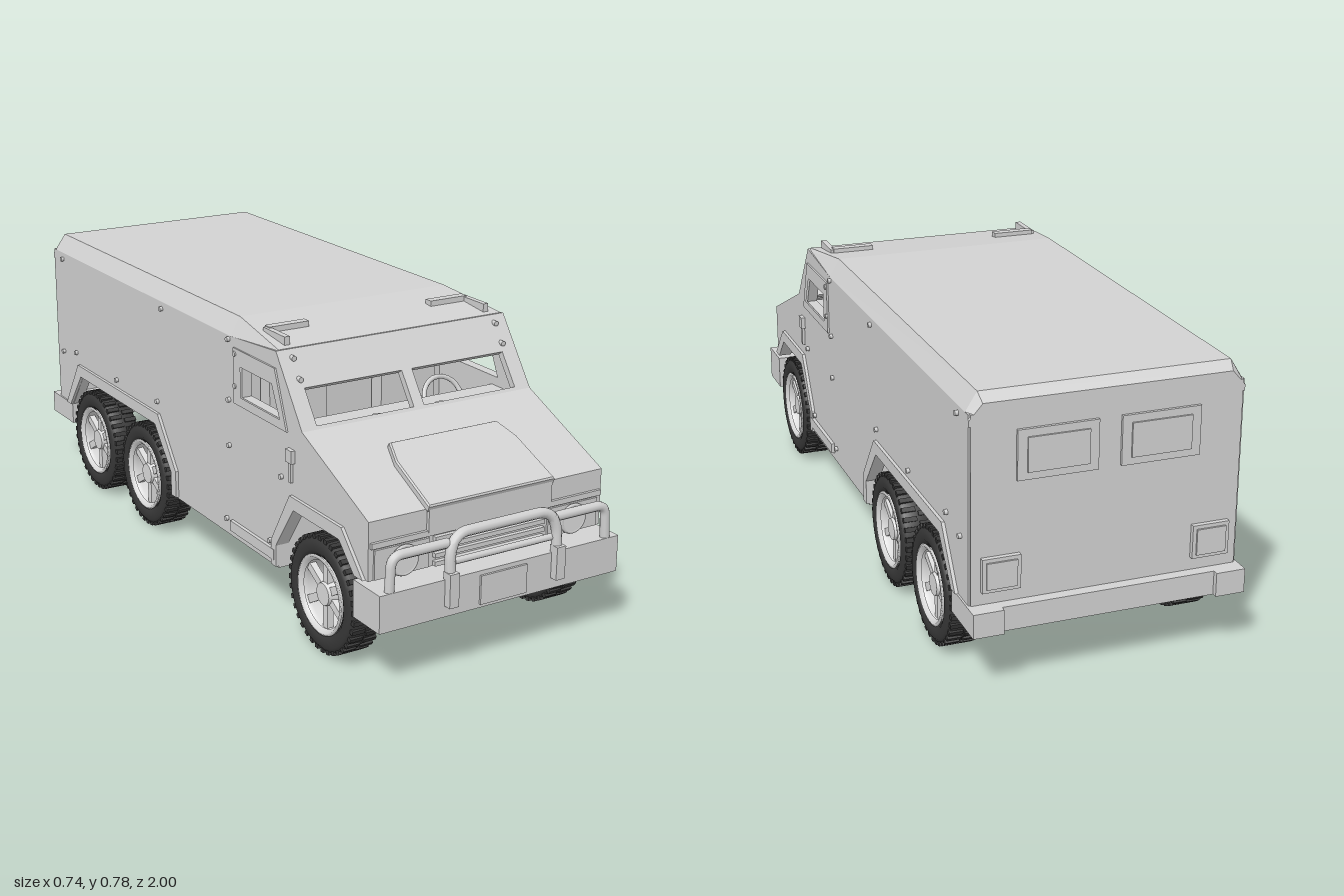
import * as THREE from 'three';
import { mergeGeometries } from 'three/addons/utils/BufferGeometryUtils.js';

const mat = (name, color, side = THREE.FrontSide) => {
  const m = new THREE.MeshStandardMaterial({ color, side });
  m.name = name;
  return m;
};

export function createModel() {
  const paint = mat('light grey paint', 0xd2d2d2);
  const metal = mat('pale metal', 0xdcdcdc, THREE.DoubleSide);
  const rubber = mat('black rubber', 0x383838);
  const truck = new THREE.Group();
  truck.name = 'armouredTruck';

  const add = (name, geo, m = paint, parent = truck) => {
    const mesh = new THREE.Mesh(geo, m);
    mesh.name = name;
    parent.add(mesh);
    return mesh;
  };
  // box given by its limits on each axis
  const box = (name, x0, x1, y0, y1, z0, z1, m) => add(name,
    new THREE.BoxGeometry(x1 - x0, y1 - y0, z1 - z0)
      .translate((x0 + x1) / 2, (y0 + y1) / 2, (z0 + z1) / 2), m);
  const poly = (pts) => new THREE.Shape(pts.map(([a, b]) => new THREE.Vector2(a, b)));
  // (z, y) outline given thickness along x, outer limit at x
  const sidePlate = (name, shape, s, xOut, t, m) => add(name,
    new THREE.ExtrudeGeometry(shape, { depth: t, bevelEnabled: false })
      .rotateY(-Math.PI / 2).translate(s > 0 ? xOut : -xOut + t, 0, 0), m);
  // slab whose upper face runs from a rear point to a front point
  const slab = (name, z0, y0, z1, y1, w, t) => add(name,
    new THREE.BoxGeometry(w, t, Math.hypot(z1 - z0, y1 - y0)).translate(0, -t / 2, 0)
      .rotateX(-Math.atan2(y1 - y0, z1 - z0)).translate(0, (y0 + y1) / 2, (z0 + z1) / 2));
  const tube = (name, pts, r, m = paint) => {
    const path = new THREE.CurvePath();
    const v = pts.map((p) => new THREE.Vector3(...p));
    // straight runs joined by small rounded bends
    let from = v[0];
    for (let i = 1; i < v.length - 1; i++) {
      const a = v[i].clone().add(v[i - 1].clone().sub(v[i]).setLength(0.03));
      const b = v[i].clone().add(v[i + 1].clone().sub(v[i]).setLength(0.03));
      path.add(new THREE.LineCurve3(from, a));
      path.add(new THREE.QuadraticBezierCurve3(a, v[i], b));
      from = b;
    }
    path.add(new THREE.LineCurve3(from, v[v.length - 1]));
    return add(name, new THREE.TubeGeometry(path, 60, r, 10), m);
  };
  const disc = (name, r, h, x, y, z, m = paint, axis = 'z') => {
    const g = new THREE.CylinderGeometry(r, r, h, 20);
    if (axis === 'z') g.rotateX(Math.PI / 2); else if (axis === 'x') g.rotateZ(Math.PI / 2);
    return add(name, g.translate(x, y, z), m);
  };

  // body sides with wheel cut-outs and cab windows
  const side = poly([[0.91, 0.28], [0.91, 0.435], [0.6, 0.57], [0.47, 0.75], [0.23, 0.73], [-0.95, 0.73],
    [-0.95, 0.23], [-0.85, 0.23], [-0.76, 0.35], [-0.23, 0.35], [-0.13, 0.23], [-0.13, 0.155],
    [0.48, 0.155], [0.48, 0.22], [0.57, 0.35], [0.79, 0.35], [0.86, 0.28]]);
  const pane = [[0.495, 0.575], [0.29, 0.575], [0.29, 0.66], [0.455, 0.66]];
  side.holes.push(poly(pane));
  const frame = poly([[0.53, 0.55], [0.25, 0.55], [0.25, 0.705], [0.47, 0.705]]);
  frame.holes.push(poly(pane));
  const frontFlare = poly([[0.9, 0.28], [0.8, 0.385], [0.55, 0.385], [0.455, 0.23], [0.455, 0.16],
    [0.48, 0.16], [0.48, 0.22], [0.57, 0.35], [0.79, 0.35], [0.86, 0.28]]);
  const rearFlare = poly([[-0.1, 0.16], [-0.1, 0.24], [-0.21, 0.385], [-0.78, 0.385], [-0.88, 0.235],
    [-0.85, 0.235], [-0.76, 0.35], [-0.23, 0.35], [-0.13, 0.23], [-0.13, 0.16]]);
  for (const s of [1, -1]) {
    const span = (a, b) => (s > 0 ? [a, b] : [-b, -a]);
    sidePlate('sidePanel', side, s, 0.36, 0.03);
    sidePlate('windowFrame', frame, s, 0.365, 0.009);
    sidePlate('frontWheelFlare', frontFlare, s, 0.369, 0.02);
    sidePlate('rearWheelFlare', rearFlare, s, 0.369, 0.02);
    box('sideStep', ...span(0.34, 0.37), 0.175, 0.205, 0.23, 0.47);
    box('doorHandle', ...span(0.355, 0.372), 0.475, 0.51, 0.535, 0.565);
    box('doorLatch', ...span(0.355, 0.368), 0.42, 0.475, 0.543, 0.555);
    // armour bolts
    for (const [z, y] of [[0.22, 0.72], [0.22, 0.55], [0.22, 0.42], [0.2, 0.2], [-0.18, 0.71], [-0.22, 0.42],
      [-0.5, 0.41], [-0.8, 0.42], [-0.88, 0.71], [-0.9, 0.4], [0.26, 0.69], [0.26, 0.6], [0.5, 0.42], [0.44, 0.22]])
      disc('sideBolt', 0.007, 0.014, s * 0.362, y, z, paint, 'x');
    for (const [x, y] of [[0.32, 0.73], [0.32, 0.682]])
      disc('frontBolt', 0.007, 0.02, s * x, y, 0.6 - (y - 0.57) * 0.722);
  }

  // roof lofted from cross-sections, its shoulders fading out over the cab
  const sections = [[-0.955, 0.36, 0.715, 0.325, 0.755], [-0.93, 0.36, 0.73, 0.33, 0.778],
    [0.23, 0.36, 0.73, 0.33, 0.78], [0.47, 0.36, 0.742, 0.352, 0.752]];
  const pos = [], idx = [];
  for (const [z, w, y1, xr, y2] of sections)
    for (const [x, y] of [[w, 0.7], [w, y1], [xr, y2], [-xr, y2], [-w, y1], [-w, 0.7]]) pos.push(x, y, z);
  for (let i = 0; i < 3; i++) for (let j = 0; j < 6; j++) {
    const a = i * 6 + j, b = i * 6 + (j + 1) % 6;
    idx.push(a, b, a + 6, b, b + 6, a + 6);
  }
  for (let j = 1; j < 5; j++) idx.push(0, j + 1, j, 18, 18 + j, 19 + j);
  let roof = new THREE.BufferGeometry();
  roof.setAttribute('position', new THREE.Float32BufferAttribute(pos, 3));
  roof.setIndex(idx);
  roof = roof.toNonIndexed();
  roof.computeVertexNormals();
  add('roof', roof);
  for (const s of [1, -1]) {
    box('roofBracket', s * 0.255 - 0.06, s * 0.255 + 0.06, 0.755, 0.78, 0.335, 0.36);
    box('roofRail', s * 0.315 - 0.008, s * 0.315 + 0.008, 0.75, 0.777, 0.34, 0.45);
  }

  // windscreen panel with two openings
  const lean = Math.atan2(0.13, 0.18);
  const screen = poly([[-0.355, 0], [0.355, 0], [0.355, 0.222], [-0.355, 0.222]]);
  for (const [a, b] of [[-0.313, -0.016], [0.016, 0.313]])
    screen.holes.push(poly([[a, 0.01], [b, 0.01], [b, 0.113], [a, 0.113]]));
  add('windscreenPanel', new THREE.ExtrudeGeometry(screen, { depth: 0.02, bevelEnabled: false })
    .translate(0, 0, -0.02).rotateX(-lean).translate(0, 0.57, 0.6));

  // bonnet, raised hatch and nose
  slab('bonnet', 0.6, 0.57, 0.91, 0.435, 0.7, 0.02);
  const hatch = poly([[-0.19, -0.005], [0.19, -0.005], [0.185, 0.16], [0.165, 0.225], [-0.165, 0.225], [-0.185, 0.16]]);
  add('bonnetHatch', new THREE.ExtrudeGeometry(hatch, { depth: 0.014, bevelSize: 0.004, bevelThickness: 0.004, bevelSegments: 1 })
    .rotateX(Math.atan2(0.135, 0.31) - Math.PI / 2).translate(0, 0.435, 0.91));
  box('nose', -0.355, 0.355, 0.28, 0.435, 0.87, 0.91);
  box('noseCentre', -0.19, 0.19, 0.375, 0.445, 0.88, 0.92);
  box('noseLip', -0.355, 0.355, 0.365, 0.38, 0.9, 0.918);
  for (let i = 0; i < 4; i++) box('grilleSlat', -0.17, 0.17, 0.282 + i * 0.022, 0.294 + i * 0.022, 0.9, 0.922);
  for (const s of [1, -1]) {
    box('headlightSurround', s * 0.265 - 0.08, s * 0.265 + 0.08, 0.282, 0.36, 0.9, 0.916);
    disc('headlight', 0.036, 0.012, s * 0.262, 0.32, 0.92, metal);
    add('headlightRing', new THREE.TorusGeometry(0.037, 0.005, 6, 24).translate(s * 0.262, 0.32, 0.922));
  }

  // bumpers and bull bar
  box('frontBumper', -0.37, 0.37, 0.17, 0.27, 0.86, 0.978);
  box('numberPlate', -0.073, 0.07, 0.18, 0.258, 0.976, 0.984);
  tube('bullBarCentre', [[-0.165, 0.2, 0.983], [-0.165, 0.345, 0.975], [-0.14, 0.383, 0.97], [0.14, 0.383, 0.97],
    [0.165, 0.345, 0.975], [0.165, 0.2, 0.983]], 0.014);
  for (const s of [1, -1]) {
    tube('bullBarWing', [[s * 0.165, 0.36, 0.965], [s * 0.33, 0.36, 0.965], [s * 0.335, 0.26, 0.965]], 0.013);
    box('bullBarFoot', s * 0.165 - 0.014, s * 0.165 + 0.014, 0.2, 0.29, 0.97, 1);
  }
  tube('bullBarCross', [[-0.165, 0.31, 0.97], [0.165, 0.31, 0.97]], 0.009);
  box('rearBumper', -0.365, 0.365, 0.17, 0.235, -0.985, -0.845);
  for (const s of [1, -1]) box('bumperCorner', s * 0.325 - 0.04, s * 0.325 + 0.04, 0.17, 0.235, -1, -0.98);

  // rear wall with doors, windows, hinges and lamps
  box('rearWall', -0.355, 0.355, 0.23, 0.73, -0.955, -0.92);
  for (const s of [1, -1]) {
    box('rearWindow', s * 0.135 - 0.105, s * 0.135 + 0.105, 0.55, 0.68, -0.963, -0.954);
    box('rearWindowInset', s * 0.135 - 0.08, s * 0.135 + 0.08, 0.57, 0.66, -0.968, -0.96);
    box('rearLamp', s * 0.28 - 0.05, s * 0.28 + 0.05, 0.27, 0.36, -0.968, -0.954);
    box('rearLampFace', s * 0.28 - 0.04, s * 0.28 + 0.04, 0.28, 0.35, -0.973, -0.966);
  }

  // cab interior
  box('bulkhead', -0.33, 0.33, 0.17, 0.75, 0.2, 0.22);
  box('dashboard', -0.33, 0.33, 0.48, 0.55, 0.47, 0.58);
  for (const s of [1, -1]) {
    disc('dashDial', 0.018, 0.01, s * 0.1, 0.553, 0.555, paint, 'y');
    box('seatCushion', s * 0.18 - 0.09, s * 0.18 + 0.09, 0.32, 0.39, 0.25, 0.44);
    box('seatBack', s * 0.18 - 0.09, s * 0.18 + 0.09, 0.36, 0.62, 0.23, 0.28);
  }
  add('steeringWheel', new THREE.TorusGeometry(0.06, 0.007, 8, 24).rotateX(-0.5).translate(0.18, 0.53, 0.45));

  // floors and wheel bay walls
  box('mainFloor', -0.335, 0.335, 0.155, 0.175, -0.13, 0.48);
  box('frontBayWall', -0.335, 0.335, 0.16, 0.37, 0.465, 0.48);
  box('rearBayWall', -0.335, 0.335, 0.16, 0.37, -0.13, -0.115);
  box('frontBayRoof', -0.335, 0.335, 0.35, 0.365, 0.48, 0.9);
  box('rearBayRoof', -0.335, 0.335, 0.35, 0.365, -0.85, -0.13);
  box('tailFloor', -0.335, 0.335, 0.23, 0.25, -0.95, -0.83);

  // chassis and axles
  for (const s of [1, -1]) {
    tube('rearRail', [[s * 0.14, 0.24, -0.12], [s * 0.14, 0.24, -0.3], [s * 0.14, 0.2, -0.42], [s * 0.14, 0.2, -0.55],
      [s * 0.14, 0.24, -0.68], [s * 0.14, 0.24, -0.86]], 0.02);
    box('frontRail', s * 0.12 - 0.02, s * 0.12 + 0.02, 0.22, 0.25, 0.47, 0.87);
    box('frontStrut', s * 0.12 - 0.015, s * 0.12 + 0.015, 0.11, 0.23, 0.68, 0.71);
    box('suspensionArm', s * 0.2 - 0.06, s * 0.2 + 0.06, 0.125, 0.155, 0.66, 0.73);
  }
  box('frontBeam', -0.26, 0.26, 0.102, 0.128, 0.67, 0.72);

  // wheels
  const tyreGeo = new THREE.LatheGeometry([[0.104, -0.038], [0.118, -0.046], [0.14, -0.046], [0.153, -0.036], [0.155, 0],
    [0.153, 0.036], [0.14, 0.046], [0.118, 0.046], [0.104, 0.038], [0.104, -0.038]]
    .map(([r, h]) => new THREE.Vector2(r, h)), 40).rotateZ(-Math.PI / 2);
  const lugs = [];
  for (let i = 0; i < 36; i++) for (const s of [1, -1])
    lugs.push(new THREE.BoxGeometry(0.038, 0.012, 0.013).translate(s * 0.022, 0.153, 0)
      .rotateX((i + s * 0.25) * Math.PI / 18));
  const lugGeo = mergeGeometries(lugs);
  const rimGeo = new THREE.LatheGeometry([[0.1, -0.042], [0.106, -0.04], [0.098, -0.03], [0.094, 0.02],
    [0.098, 0.036], [0.108, 0.045], [0.1, 0.048], [0.09, 0.036]]
    .map(([r, h]) => new THREE.Vector2(r, h)), 40).rotateZ(-Math.PI / 2);
  const spokes = [new THREE.CylinderGeometry(0.03, 0.036, 0.03, 20).rotateZ(-Math.PI / 2).translate(0.02, 0, 0)];
  for (let i = 0; i < 6; i++)
    spokes.push(new THREE.BoxGeometry(0.018, 0.072, 0.022).translate(0.018, 0.062, 0).rotateX(i * Math.PI / 3));
  const spokeGeo = mergeGeometries(spokes);
  for (const z of [0.695, -0.32, -0.675]) {
    disc('axle', 0.02, 0.6, 0, 0.162, z, paint, 'x');
    if (z < 0) add('differential', new THREE.SphereGeometry(0.045, 16, 12).translate(0, 0.162, z));
    for (const s of [1, -1]) {
      const wheel = new THREE.Group();
      wheel.name = 'wheel';
      wheel.position.set(s * 0.321, 0.162, z);
      wheel.rotation.y = s > 0 ? 0 : Math.PI;
      truck.add(wheel);
      add('tyre', tyreGeo, rubber, wheel);
      add('treadLugs', lugGeo, rubber, wheel);
      add('rim', rimGeo, metal, wheel);
      add('spokes', spokeGeo, metal, wheel);
    }
  }
  return truck;
}
